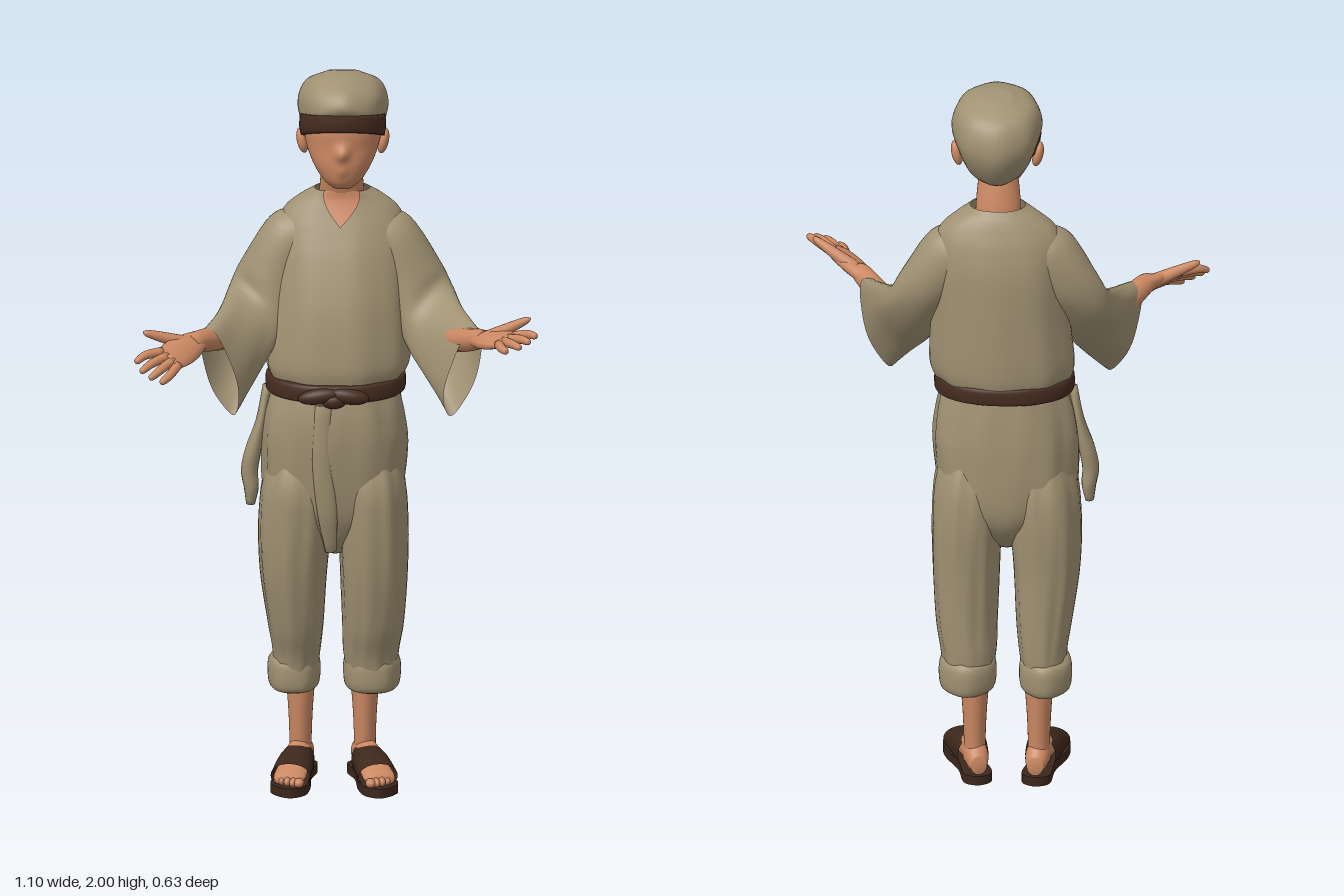
import * as THREE from 'three';

const mat = (name, color, side = THREE.FrontSide) => {
  const m = new THREE.MeshStandardMaterial({ color, side });
  m.name = name;
  return m;
};
const V = (a) => new THREE.Vector3(...a);

// Smooth surface through elliptical sections [centre, u, v]; sq < 1 makes them boxier.
function surface(sections, sq = 1, fold = () => 0) {
  const [c, u, v] = [0, 1, 2].map((k) =>
    new THREE.CatmullRomCurve3(sections.map((s) => V(s[k])), false, 'catmullrom', 0.5));
  const p = (x) => Math.sign(x) * Math.abs(x) ** sq;
  return (a, t) => {
    const k = 1 + fold(a, t);
    return c.getPoint(t)
      .addScaledVector(u.getPoint(t), k * p(Math.cos(a)))
      .addScaledVector(v.getPoint(t), k * p(Math.sin(a)));
  };
}

function loft(sections, { seg = 32, rows = 6, sq = 1, fold, caps = true } = {}) {
  const f = surface(sections, sq, fold);
  const n = (sections.length - 1) * rows;
  const pos = [], idx = [];
  for (let i = 0; i <= n; i++)
    for (let j = 0; j < seg; j++) pos.push(...f((j / seg) * Math.PI * 2, i / n).toArray());
  for (let i = 0; i < n; i++)
    for (let j = 0; j < seg; j++) {
      const a = i * seg + j, b = i * seg + ((j + 1) % seg);
      idx.push(a, b, b + seg, a, b + seg, a + seg);
    }
  if (caps) {
    const k = pos.length / 3;
    pos.push(...sections[0][0], ...sections[sections.length - 1][0]);
    for (let j = 0; j < seg; j++) {
      const b = (j + 1) % seg;
      idx.push(k, b, j, k + 1, n * seg + j, n * seg + b);
    }
  }
  return build(pos, idx);
}

function build(pos, idx) {
  const g = new THREE.BufferGeometry();
  g.setAttribute('position', new THREE.Float32BufferAttribute(pos, 3));
  g.setIndex(idx);
  g.computeVertexNormals();
  return g;
}

// Section from its front and back points [y, z] and its x range
const tilt = ([fy, fz], [by, bz], x0, x1) =>
  [[(x0 + x1) / 2, (fy + by) / 2, (fz + bz) / 2], [(x1 - x0) / 2, 0, 0], [0, (by - fy) / 2, (bz - fz) / 2]];
// Level section [y, x0, x1, back z, front z]
const level = ([y, x0, x1, zb, zf]) => tilt([y, zf], [y, zb], x0, x1);

// Tapered limb along points; each radius is a number or [width, height]
function limb(points, radii, ref = [0, 1, 0]) {
  const p = points.map(V);
  return loft(p.map((c, i) => {
    const d = p[Math.min(i + 1, p.length - 1)].clone().sub(p[Math.max(i - 1, 0)]).normalize();
    const u = d.clone().cross(V(ref)).normalize();
    const v = d.clone().cross(u);
    const [w, h] = [radii[i]].flat();
    return [c.toArray(), u.multiplyScalar(w).toArray(), v.multiplyScalar(h ?? w).toArray()];
  }), { seg: 14, rows: 4 });
}

export function createModel() {
  const root = new THREE.Group();
  const cloth = mat('linen', 0xa09172, THREE.DoubleSide);
  const skin = mat('skin', 0xcb8862, THREE.DoubleSide);
  const brown = mat('darkBrown', 0x462c20, THREE.DoubleSide);
  const leather = mat('sandalLeather', 0x3c271c, THREE.DoubleSide);
  const add = (name, geo, m, parent = root) => {
    const mesh = new THREE.Mesh(geo, m);
    mesh.name = name;
    parent.add(mesh);
    return mesh;
  };
  const ball = (name, m, p, r, parent) => {
    const b = add(name, new THREE.SphereGeometry(1, 20, 14), m, parent);
    b.position.set(...p);
    b.scale.set(...r);
    return b;
  };

  // Head, with nose and mouth raised from the front, and neck
  const bump = (x, c, w) => Math.exp(-(((x - c) / w) ** 2));
  add('head', loft([
    [1.692, -0.02, 0.04, -0.13, -0.06], [1.715, -0.045, 0.065, -0.17, -0.034], [1.76, -0.072, 0.092, -0.2, -0.024],
    [1.81, -0.09, 0.11, -0.23, -0.026], [1.86, -0.097, 0.117, -0.25, -0.024], [1.92, -0.085, 0.105, -0.25, -0.04],
  ].map(level), { seg: 56, rows: 8, fold: (a, t) =>
    bump(a, Math.PI * 1.5, 0.17) * (0.22 * bump(t, 0.56, 0.09) + 0.07 * bump(t, 0.36, 0.07)) }), skin);
  add('neck', loft([
    [1.55, -0.05, 0.07, -0.22, -0.14], [1.66, -0.054, 0.068, -0.21, -0.115], [1.75, -0.045, 0.06, -0.19, -0.08],
  ].map(level)), skin);
  for (const s of [-1, 1])
    ball(s > 0 ? 'leftEar' : 'rightEar', skin, [0.01 + s * 0.11, 1.806, -0.148], [0.015, 0.036, 0.022]).rotation.z = -s * 0.2;

  // Hair fringe and cap
  add('hairFringe', loft([
    tilt([1.862, -0.018], [1.792, -0.225], -0.103, 0.123),
    tilt([1.885, -0.014], [1.822, -0.23], -0.108, 0.128),
    tilt([1.91, -0.016], [1.865, -0.23], -0.106, 0.126),
  ], { seg: 40, rows: 3 }), brown);
  add('cap', loft([
    tilt([1.892, -0.03], [1.725, -0.185], -0.07, 0.09),
    tilt([1.928, -0.012], [1.765, -0.262], -0.096, 0.116),
    tilt([1.965, -0.038], [1.85, -0.31], -0.112, 0.132),
    tilt([1.992, -0.095], [1.935, -0.292], -0.09, 0.11),
    tilt([2.0, -0.155], [1.985, -0.22], -0.03, 0.05),
  ], { seg: 40, fold: (a, t) => 0.014 * Math.sin(8 * a + 1) * Math.sin(t * Math.PI) }), cloth);

  // Shirt, with a skin patch laid along its front for the open collar
  const shirt = [
    [1.13, -0.165, 0.155, -0.27, -0.01], [1.155, -0.188, 0.175, -0.288, 0.0], [1.21, -0.2, 0.192, -0.298, 0.006],
    [1.35, -0.187, 0.187, -0.3, -0.012], [1.48, -0.18, 0.185, -0.297, -0.05], [1.56, -0.172, 0.18, -0.283, -0.083],
    [1.61, -0.148, 0.16, -0.266, -0.105], [1.645, -0.105, 0.12, -0.25, -0.117], [1.668, -0.068, 0.083, -0.232, -0.118],
  ].map(level);
  const shirtFold = (a, t) => 0.022 * Math.sin(9 * a + 2 * t) * (1 - t);
  add('shirt', loft(shirt, { seg: 64, sq: 0.93, fold: shirtFold, caps: false }), cloth);
  const front = surface(shirt, 0.93, shirtFold);
  const vPos = [], vIdx = [];
  for (let i = 0; i <= 10; i++)
    for (let j = 0; j <= 8; j++) {
      const p = front(-Math.PI / 2 + (j / 4 - 1) * 0.065 * i, 0.65 + 0.035 * i);
      vPos.push(p.x, p.y + 0.003, p.z + 0.005);
      if (i < 10 && j < 8) {
        const a = i * 9 + j;
        vIdx.push(a, a + 1, a + 10, a, a + 10, a + 9);
      }
    }
  add('openCollar', build(vPos, vIdx), skin);

  // Wide sleeves, flaring from the elbow
  const sleeve = [
    [[0.06, 1.55, -0.18], [0, 0, -0.07], [0.045, 0.065, 0]],
    [[0.135, 1.513, -0.178], [0, 0, -0.08], [0.055, 0.07, 0]],
    [[0.195, 1.415, -0.162], [0.02, 0, -0.076], [0.07, 0.05, 0]],
    [[0.24, 1.325, -0.12], [0.045, 0, -0.055], [0.047, 0.082, -0.015]],
    [[0.282, 1.265, -0.035], [0.047, 0, -0.028], [0.035, 0.1, 0]],
    [[0.33, 1.213, 0.065], [0.04, 0, -0.024], [0.034, 0.124, 0.015]],
  ];
  for (const s of [-1, 1])
    add(s > 0 ? 'leftSleeve' : 'rightSleeve', loft(
      sleeve.map(([c, u, v], i) => [[s * c[0] + 0.002 * i, c[1], c[2]], [u[0], u[1], s * u[2]], [s * v[0], v[1], v[2]]]),
      { seg: 40, caps: false, fold: (a, t) => 0.03 * Math.sin(5 * a + 9 * t) * t }), cloth);

  // Forearms and open hands; finger tips run from little finger to index
  const hands = [
    { name: 'left', s: 1, wrist: [0.385, 1.322, 0.12], little: [0.432, 1.335, 0.243], index: [0.492, 1.36, 0.208],
      tips: [[0.463, 1.335, 0.3], [0.5, 1.35, 0.312], [0.525, 1.362, 0.297], [0.543, 1.372, 0.272]], thumb: [0.525, 1.4, 0.192] },
    { name: 'right', s: -1, wrist: [-0.38, 1.312, 0.12], little: [-0.422, 1.268, 0.238], index: [-0.483, 1.315, 0.213],
      tips: [[-0.475, 1.243, 0.303], [-0.505, 1.256, 0.306], [-0.53, 1.272, 0.296], [-0.545, 1.292, 0.268]], thumb: [-0.525, 1.353, 0.182] },
  ];
  for (const { name, s, wrist, little, index, tips, thumb } of hands) {
    const hand = new THREE.Group();
    hand.name = name + 'Hand';
    root.add(hand);
    const [w, a, b] = [wrist, little, index].map(V);
    const mid = a.clone().lerp(b, 0.5);
    const at = (t) => w.clone().lerp(mid, t).toArray();
    add(name + 'Forearm', limb([[s * 0.27, 1.285, -0.07], [s * 0.335, 1.298, 0.04], wrist, at(0.2)], [0.036, 0.034, 0.028, 0.024]), skin);
    const up = mid.clone().sub(w).cross(b.clone().sub(a)).normalize().multiplyScalar(s).toArray();
    add('palm', limb([at(-0.2), at(0.3), at(0.7), at(1.08)], [[0.024, 0.02], [0.041, 0.021], [0.045, 0.018], [0.038, 0.012]], up), skin, hand);
    tips.forEach((tip, i) => {
      const k = a.clone().lerp(b, i / 3), e = V(tip);
      const m = k.clone().lerp(e, 0.55);
      m.y += 0.003;
      add('finger', limb([k.clone().lerp(mid, 0.3).toArray(), m.toArray(), k.clone().lerp(e, 0.92).toArray(), tip],
        [0.0135, 0.012, 0.009, 0.003]), skin, hand);
    });
    const base = V(at(0.2)), t = V(thumb);
    add('thumb', limb([base.toArray(), base.clone().lerp(t, 0.5).toArray(), base.clone().lerp(t, 0.9).toArray(), thumb],
      [0.021, 0.016, 0.01, 0.003]), skin, hand);
  }

  // Baggy trousers: hips, legs and rolled cuffs
  const clothFold = (a, t) => 0.02 * Math.sin(8 * a + 5 * t) + 0.01 * Math.sin(13 * a - 4 * t);
  const baggy = { seg: 56, sq: 0.9, fold: clothFold };
  add('trouserHips', loft([
    [0.66, -0.05, 0.02, -0.19, -0.09], [0.72, -0.125, 0.095, -0.255, -0.045], [0.8, -0.195, 0.16, -0.29, -0.012],
    [0.95, -0.21, 0.184, -0.294, 0.01], [1.05, -0.202, 0.178, -0.287, 0.012], [1.14, -0.178, 0.16, -0.275, -0.002],
  ].map(level), baggy), cloth);
  const legs = [
    { name: 'right', x: [[-0.18, -0.065], [-0.18, -0.053], [-0.193, -0.043], [-0.214, -0.034], [-0.219, -0.02], [-0.205, -0.02], [-0.16, -0.04]],
      cuff: [-0.195, -0.052], ankle: [-0.14, -0.072], turn: -0.15 },
    { name: 'left', x: [[0.025, 0.15], [0.012, 0.16], [0.01, 0.175], [0.004, 0.185], [-0.002, 0.187], [0, 0.177], [0.02, 0.135]],
      cuff: [0.01, 0.166], ankle: [0.035, 0.102], turn: 0.24 },
  ];
  const legZ = [[0.27, -0.275, -0.115], [0.36, -0.283, -0.095], [0.45, -0.285, -0.06], [0.6, -0.29, -0.024],
    [0.75, -0.297, -0.006], [0.87, -0.283, -0.008], [1.0, -0.23, -0.06]];
  for (const { name, x, cuff: [c0, c1], ankle: [a0, a1], turn } of legs) {
    add(name + 'TrouserLeg', loft(legZ.map(([y, zb, zf], i) => level([y, ...x[i], zb, zf])), baggy), cloth);
    add(name + 'Cuff', loft([[0.25, 0.03], [0.262, 0.006], [0.3, 0], [0.338, 0.004], [0.356, 0.025]]
      .map(([y, d]) => tilt([y + 0.004, -0.1 - d], [y - 0.002, -0.295 + d], c0 + d, c1 - d)),
      { seg: 40, sq: 0.95, rows: 4, fold: (a) => 0.025 * Math.sin(5 * a) }), cloth);
    add(name + 'Shin', loft([[0.05, a0 + 0.002, a1 - 0.002, -0.265, -0.185], [0.1, a0 + 0.004, a1 - 0.004, -0.262, -0.18],
      [0.2, a0, a1, -0.268, -0.17], [0.32, a0 - 0.01, a1 + 0.01, -0.275, -0.16]].map(level)), skin);

    // Foot in its sandal, toes along local +z
    const foot = new THREE.Group();
    foot.name = name + 'Foot';
    foot.position.set((a0 + a1) / 2, 0, -0.22);
    foot.rotation.y = turn;
    root.add(foot);
    const s = name === 'left' ? 1 : -1;
    const along = (list) => list.map(([z, y, w, h]) => [[0, y, z], [w, 0, 0], [0, h, 0]]);
    add('foot', loft(along([[-0.06, 0.05, 0.022, 0.025], [-0.03, 0.065, 0.032, 0.04], [0.03, 0.07, 0.034, 0.04],
      [0.1, 0.056, 0.04, 0.03], [0.17, 0.044, 0.044, 0.02], [0.2, 0.038, 0.037, 0.014]])), skin, foot);
    for (let i = 0; i < 5; i++)
      ball('toe', skin, [s * (-0.031 + i * 0.0165), 0.036, 0.208 - i * i * 0.0022], [i ? 0.01 : 0.014, 0.013, 0.018], foot);
    const outline = new THREE.Shape();
    outline.setFromPoints(new THREE.CatmullRomCurve3([
      [0, -0.075], [0.036, -0.055], [0.037, 0.04], [0.054, 0.14], [0.045, 0.2], [-0.01, 0.24],
      [-0.044, 0.21], [-0.05, 0.14], [-0.036, 0.04], [-0.036, -0.055],
    ].map(([px, pz]) => new THREE.Vector3(s * px, pz, 0)), true).getPoints(60).slice(0, -1).map((p) => new THREE.Vector2(p.x, p.y)));
    add('sole', new THREE.ExtrudeGeometry(outline, { depth: 0.026, bevelEnabled: false }).rotateX(Math.PI / 2).translate(0, 0.026, 0), leather, foot);
    add('strap', loft(along([[0.02, 0.052, 0.042, 0.05], [0.09, 0.052, 0.05, 0.046], [0.165, 0.042, 0.054, 0.034]]),
      { seg: 32, sq: 0.95, caps: false }), leather, foot);
  }

  // Belt with knot, hanging sash end and side pouch
  add('belt', loft([[-0.024, 0.016], [-0.02, 0], [0.018, 0], [0.024, 0.016]].map(([y, d]) =>
    tilt([1.132 + y, 0.014 - d], [1.144 + y, -0.296 + d], -0.198 + d, 0.18 - d)),
    { seg: 56, sq: 0.92, caps: false }), brown);
  for (const [x, y, r, turn] of [[-0.05, 1.128, 0.06, 0.15], [0.03, 1.128, 0.055, -0.15], [-0.012, 1.115, 0.035, 0]])
    ball('beltKnot', brown, [x, y, 0.008], [r, 0.022, 0.022]).rotation.z = turn;
  add('sashEnd', limb([[-0.04, 1.1, 0.006], [-0.045, 0.95, 0.007], [-0.03, 0.8, -0.008], [-0.02, 0.68, -0.04]],
    [[0.022, 0.009], [0.025, 0.01], [0.027, 0.012], [0.015, 0.01]], [0, 0, 1]), cloth);
  add('sidePouch', limb([[-0.195, 1.12, -0.14], [-0.212, 1.02, -0.14], [-0.232, 0.94, -0.14], [-0.243, 0.88, -0.14], [-0.238, 0.83, -0.14], [-0.24, 0.785, -0.14]],
    [0.012, [0.014, 0.03], [0.022, 0.035], [0.023, 0.03], [0.02, 0.028], [0.012, 0.015]], [0, 0, 1]), cloth);
  return root;
}
